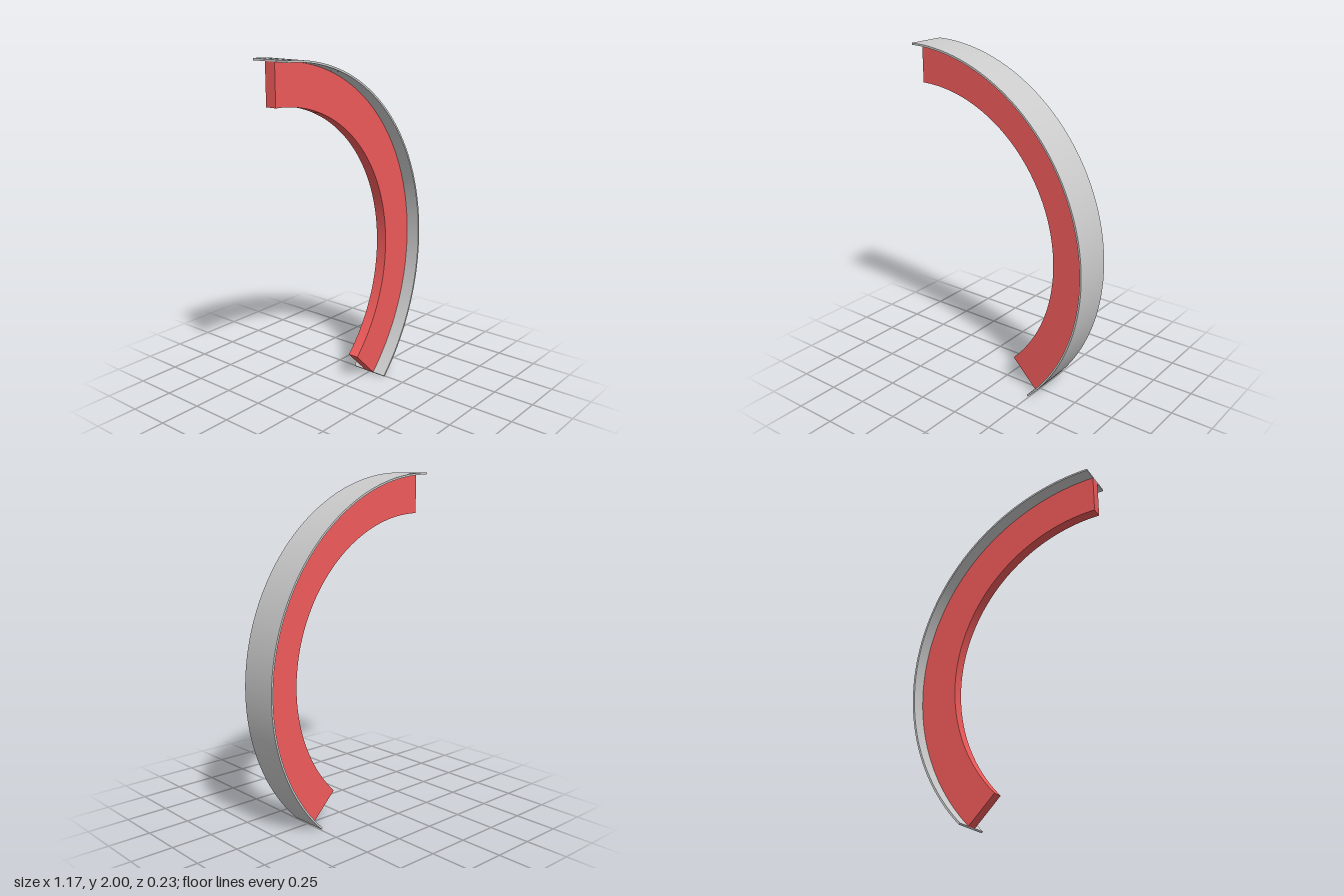
import * as THREE from 'three';
import { toCreasedNormals } from 'three/addons/utils/BufferGeometryUtils.js';

// Shared arc: centre, outer radius and angles (135 degrees, clockwise from the top)
const R = 1.171;
const CX = -R / 2;
const CY = 2 - R;
const START = Math.PI / 2;
const END = -Math.PI / 4;

// Curved bar with a rectangular section, centred on z = 0
function arcBar(name, inner, outer, width, color) {
  const shape = new THREE.Shape();
  shape.absarc(0, 0, outer, START, END, true);
  shape.absarc(0, 0, inner, END, START, false);
  shape.closePath();
  const extruded = new THREE.ExtrudeGeometry(shape, {
    depth: width,
    bevelEnabled: false,
    curveSegments: 40,
  });
  extruded.translate(CX, CY, -width / 2);
  const material = new THREE.MeshStandardMaterial({ color });
  const mesh = new THREE.Mesh(toCreasedNormals(extruded, 0.5), material);
  mesh.name = name;
  return mesh;
}

export function createModel() {
  const group = new THREE.Group();
  group.name = 'curvedTeeBeam';
  // Thin, wide strip around the outside
  group.add(arcBar('outerFlange', R - 0.011, R, 0.234, 0xcccccc));
  // Deep, narrow rib on its inner side
  group.add(arcBar('innerWeb', R - 0.238, R - 0.01, 0.066, 0xf05a5a));
  return group;
}
